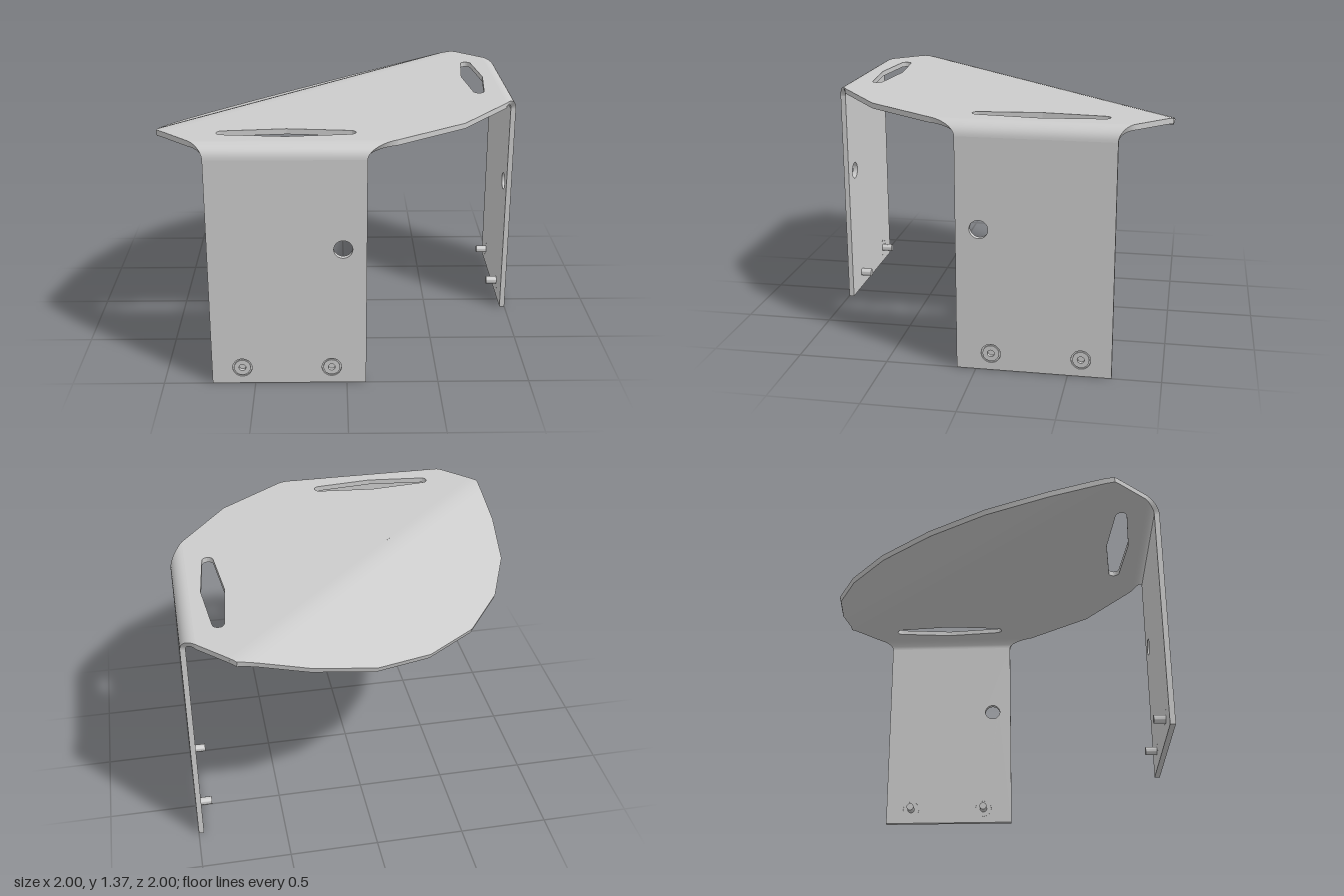
import * as THREE from 'three';
import { toCreasedNormals } from 'three/addons/utils/BufferGeometryUtils.js';

const T = 0.03;      // sheet thickness
const TOP = 1.37;    // height of the flat top
const R = 0.08;      // outer radius of the leg bends
const material = new THREE.MeshStandardMaterial({ color: 0xcccccc });

function mesh(name, geometry) {
  const m = new THREE.Mesh(geometry, material);
  m.name = name;
  return m;
}

// Solid strip through four-cornered sections: outer left, outer right, inner right, inner left
function ribbon(sections) {
  const pos = [];
  const quad = (a, b, c, d) => [a, b, c, a, c, d].forEach((p) => pos.push(...p));
  for (let i = 0; i + 1 < sections.length; i++) {
    const p = sections[i], q = sections[i + 1];
    for (let k = 0; k < 4; k++) {
      const n = (k + 1) % 4;
      quad(p[k], q[k], q[n], p[n]);
    }
  }
  const [a, b, c, d] = sections[0];
  quad(a, b, c, d);
  const [e, f, g, h] = sections[sections.length - 1];
  quad(e, h, g, f);
  const geo = new THREE.BufferGeometry();
  geo.setAttribute('position', new THREE.Float32BufferAttribute(pos, 3));
  return toCreasedNormals(geo, 0.6);
}

function circleHole(x, y, r) {
  return new THREE.Path().absarc(x, y, r, 0, Math.PI * 2, true);
}

// Long slot, widest in the middle, with round ends; swap turns it to the other edge
function slot(swap) {
  const pts = [];
  for (const side of [-1, 1]) {
    for (let i = 0; i <= 8; i++) {
      const a = Math.PI * (i / 8 - 0.5);
      pts.push([-0.315 + side * (0.333 + 0.032 * Math.cos(a)), 0.79 + side * 0.032 * Math.sin(a)]);
    }
    pts.push([-0.315, 0.79 + side * 0.065]);
  }
  return new THREE.Path(pts.map(([u, v]) => (swap ? new THREE.Vector2(v, -u) : new THREE.Vector2(u, -v))));
}

// Flat part of the top, drawn as x, z
function topPlate() {
  const outline = [
    [-0.814, 0.92], [0.26, 0.92], [0.64, 0.64], [0.92, 0.26],
    [0.92, -0.814], [0.765, -0.965], [-0.965, 0.765],
  ];
  const shape = new THREE.Shape(outline.map(([x, z]) => new THREE.Vector2(x, -z)));
  shape.holes.push(slot(false), slot(true));
  const geo = new THREE.ExtrudeGeometry(shape, { depth: T, bevelEnabled: false });
  geo.rotateX(-Math.PI / 2);
  geo.translate(0, TOP - T, 0);
  return mesh('topPlate', geo);
}

// Rear wing, folded gently down along the diagonal; d is the distance past the fold
function rearWing() {
  const slope = 0.36, start = -0.05, length = 0.12;
  const rows = [ // d, half width
    [-0.05, 1.223], [-0.025, 1.223], [0, 1.223], [0.035, 1.188], [0.07, 1.153],
    [0.262, 0.962], [0.477, 0.682], [0.608, 0.361], [0.658, 0.005],
  ];
  const sections = rows.map(([d, w]) => {
    const u = d - start;
    const drop = slope * (u < length ? (u * u) / (2 * length) : u - length / 2);
    const angle = Math.atan(slope * Math.min(u / length, 1));
    const at = (t, depth) => {
      const s = d - depth * Math.sin(angle);
      return [
        -0.135 - (s + t) * Math.SQRT1_2,
        TOP - drop - depth * Math.cos(angle),
        -0.135 - (s - t) * Math.SQRT1_2,
      ];
    };
    return [at(-w, 0), at(w, 0), at(w, T), at(-w, T)];
  });
  return mesh('rearWing', ribbon(sections));
}

// Front leg: rounded bend, flat panel with holes, two flush studs
function leg(name) {
  const group = new THREE.Group();
  group.name = name;

  const sections = [];
  for (let i = 0; i <= 10; i++) {
    const a = (i / 10) * Math.PI / 2, k = Math.sin(a);
    const left = THREE.MathUtils.lerp(-0.814, -0.735, k);
    const right = THREE.MathUtils.lerp(0.26, 0.105, k);
    const at = (x, r) => [x, TOP - R + r * Math.cos(a), 1 - R + r * Math.sin(a)];
    sections.push([at(left, R), at(right, R), at(right, R - T), at(left, R - T)]);
  }
  group.add(mesh('legBend', ribbon(sections)));

  const studX = [-0.57, -0.083], studY = 0.095, studR = 0.053;
  const panel = new THREE.Shape([
    new THREE.Vector2(-0.735, 0), new THREE.Vector2(0.105, 0),
    new THREE.Vector2(0.105, TOP - R), new THREE.Vector2(-0.735, TOP - R),
  ]);
  panel.holes.push(circleHole(-0.02, 0.795, 0.05));
  studX.forEach((x) => panel.holes.push(circleHole(x, studY, studR)));
  const geo = new THREE.ExtrudeGeometry(panel, { depth: T, bevelEnabled: false, curveSegments: 24 });
  geo.translate(0, 0, 1 - T);
  group.add(mesh('legPanel', geo));

  // Stud profile: radius, depth behind the outer face
  const profile = [
    [0, 0.095], [0.023, 0.095], [0.023, T], [studR, T], [studR, 0.008],
    [0.045, 0.008], [0.045, 0], [0.019, 0], [0.019, 0.02], [0, 0.02],
  ].map(([r, depth]) => new THREE.Vector2(r, -depth));
  const studGeo = toCreasedNormals(new THREE.LatheGeometry(profile, 24), 0.6);
  studGeo.rotateX(Math.PI / 2);
  studX.forEach((x) => {
    const stud = mesh('stud', studGeo);
    stud.position.set(x, studY, 1);
    group.add(stud);
  });
  return group;
}

export function createModel() {
  const model = new THREE.Group();
  model.name = 'bentSheetStand';
  model.add(topPlate(), rearWing(), leg('frontLeg'));

  // Side leg: the front leg with x and z exchanged
  const side = leg('leftLeg');
  side.scale.x = -1;
  side.rotation.y = Math.PI / 2;
  model.add(side);
  return model;
}
